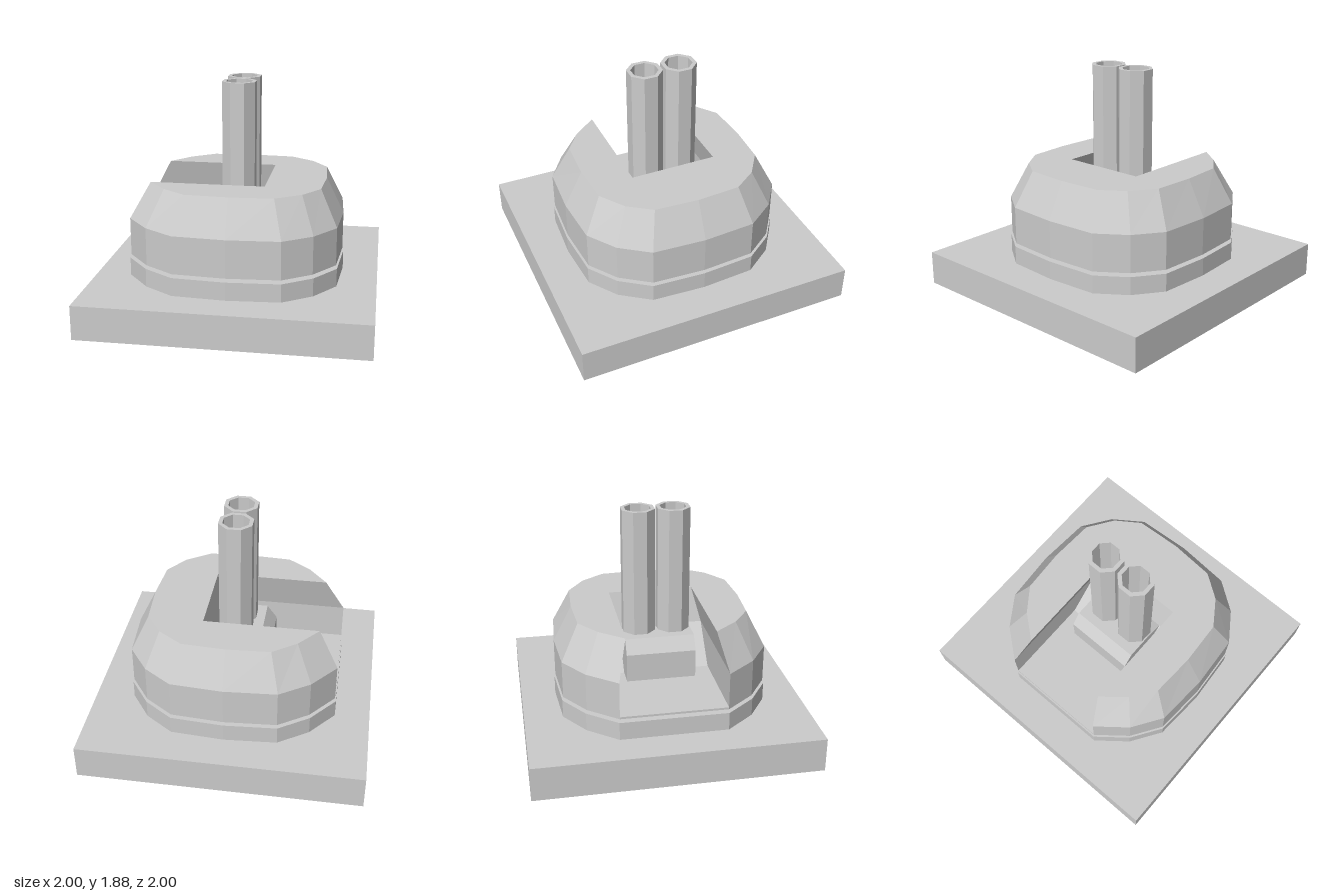
import * as THREE from 'three';

const mat = new THREE.MeshStandardMaterial({ color: 0xcccccc, flatShading: true });

// Half outlines (x, z) of the turret, from the slot mouth round to the closed end
const WALL = [[-0.745, 0.375], [-0.58, 0.58], [-0.37, 0.72], [0, 0.745], [0.37, 0.72], [0.57, 0.58], [0.715, 0.375], [0.74, 0]];
const ROOF = [[-0.605, 0.31], [-0.47, 0.475], [-0.305, 0.595], [0, 0.612], [0.305, 0.595], [0.48, 0.475], [0.595, 0.31], [0.615, 0]];

const mirrorZ = (half) => [...half, ...half.slice(0, -1).reverse().map(([x, z]) => [x, -z])];
const toShape = (pts) => new THREE.Shape(pts.map(([x, z]) => new THREE.Vector2(x, -z)));

// Upright prism from a shape, between two heights
function prism(shape, y0, y1) {
  const g = new THREE.ExtrudeGeometry(shape, { depth: y1 - y0, bevelEnabled: false });
  return g.rotateX(-Math.PI / 2).translate(0, y0, 0);
}

// Closed solid lofted through rings of equal count, counter-clockwise from above
function loft(rings) {
  const n = rings[0].pts.length;
  const pos = rings.flatMap(({ y, pts }) => pts.flatMap(([x, z]) => [x, y, z]));
  const idx = [];
  for (let r = 0; r < rings.length - 1; r++) {
    for (let i = 0; i < n; i++) {
      const a = r * n + i, b = r * n + (i + 1) % n;
      idx.push(a, b, b + n, a, b + n, a + n);
    }
  }
  const cap = (r) => THREE.ShapeUtils.triangulateShape(rings[r].pts.map(([x, z]) => new THREE.Vector2(x, -z)), []);
  const top = (rings.length - 1) * n;
  cap(0).forEach(([a, b, c]) => idx.push(a, c, b));
  cap(rings.length - 1).forEach(([a, b, c]) => idx.push(top + a, top + b, top + c));
  const g = new THREE.BufferGeometry();
  g.setAttribute('position', new THREE.Float32BufferAttribute(pos, 3));
  g.setIndex(idx);
  const flat = g.toNonIndexed();
  flat.computeVertexNormals();
  return flat;
}

// Octagon with flat sides facing the axes
function octagon(apothem, Type) {
  const r = apothem / Math.cos(Math.PI / 8);
  const pts = [];
  for (let i = 0; i < 8; i++) {
    const a = (i + 0.5) * Math.PI / 4;
    pts.push(new THREE.Vector2(r * Math.cos(a), r * Math.sin(a)));
  }
  return new Type(pts);
}

export function createModel() {
  const model = new THREE.Group();
  const add = (name, geometry) => {
    const mesh = new THREE.Mesh(geometry, mat);
    mesh.name = name;
    model.add(mesh);
    return mesh;
  };

  // Square foundation: slab over an inverted pyramid
  add('foundationSlab', new THREE.BoxGeometry(2, 0.245, 2).translate(0, 0.3775, 0));
  add('foundationTaper', new THREE.CylinderGeometry(Math.SQRT2, 0.25 * Math.SQRT2, 0.255, 4)
    .rotateY(Math.PI / 4).translate(0, 0.1275, 0));

  // Base ring, recessed neck and turret floor share one outline
  const scaled = (s) => toShape(mirrorZ(WALL).map(([x, z]) => [x * s, z * s]));
  add('baseRing', prism(scaled(1.01), 0.5, 0.63));
  add('neck', prism(scaled(0.905), 0.63, 0.655));
  add('turretFloor', prism(scaled(1), 0.655, 0.67));

  // Turret shell with a slot open towards -x; its back wall leans outwards
  const ring = (y, half, backX) => {
    const z = half[0][1];
    return { y, pts: [...mirrorZ(half), [backX, -z], [backX, z]] };
  };
  add('turretShell', loft([ring(0.67, WALL, -0.11), ring(0.925, WALL, 0.14), ring(1.18, ROOF, 0.205)]));

  // Breech block in the slot
  const breech = new THREE.Shape([[-0.25, 0.67], [0.14, 0.67], [0.14, 0.93], [0, 0.97], [-0.18, 0.97], [-0.25, 0.875]]
    .map(([x, y]) => new THREE.Vector2(x, y)));
  add('breechBlock', new THREE.ExtrudeGeometry(breech, { depth: 0.5, bevelEnabled: false }).translate(0, 0, -0.25));

  // Twin hollow barrels
  for (const side of [-1, 1]) {
    const tube = octagon(0.115, THREE.Shape);
    tube.holes.push(octagon(0.088, THREE.Path));
    add(side > 0 ? 'frontBarrel' : 'rearBarrel', prism(tube, 0.9, 1.88)).position.z = side * 0.125;
  }
  return model;
}
